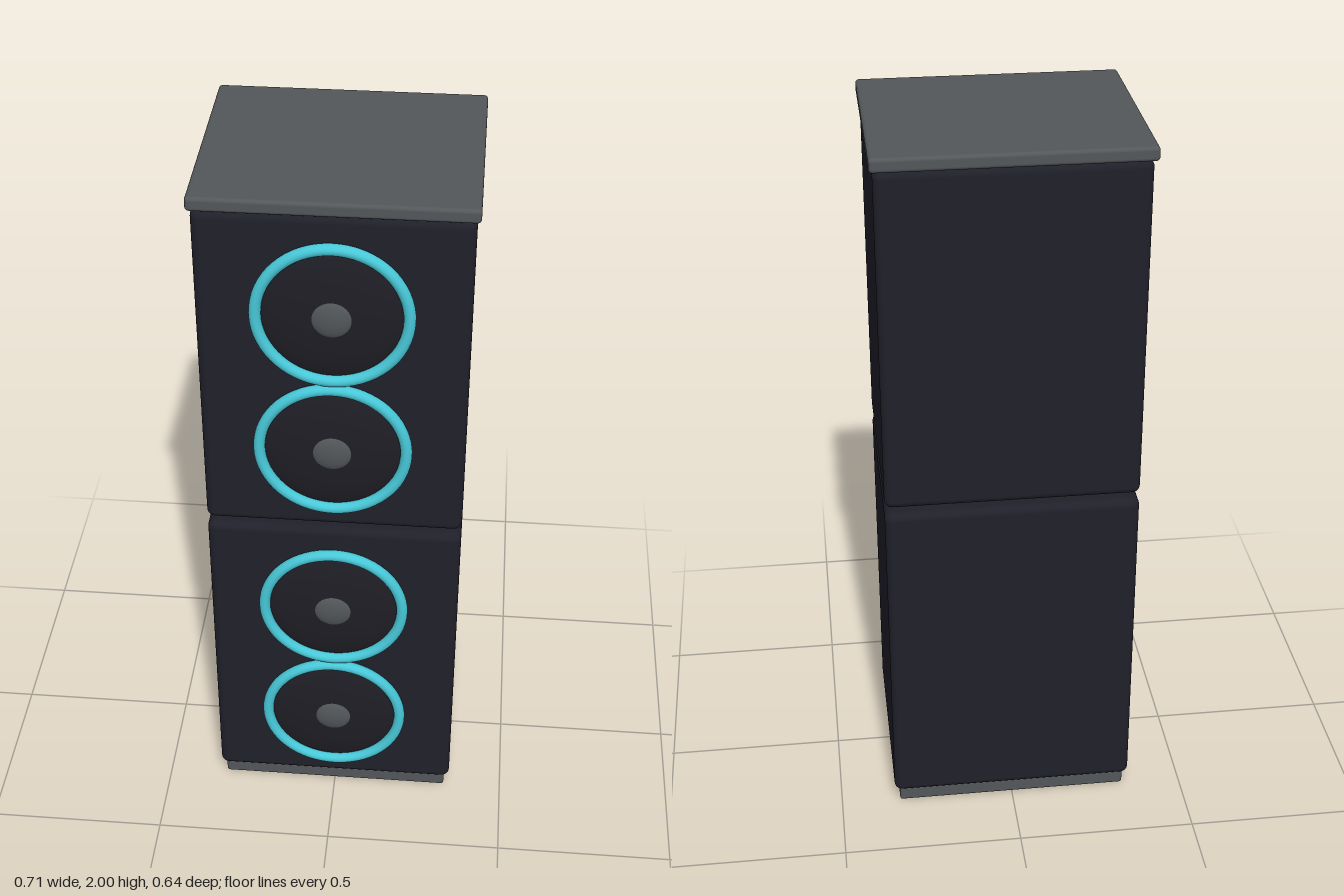
import * as THREE from 'three';
import { RoundedBoxGeometry } from 'three/addons/geometries/RoundedBoxGeometry.js';

export function createModel() {
  const mat = (name, color) => {
    const m = new THREE.MeshStandardMaterial({ color });
    m.name = name;
    return m;
  };
  const cabinetMat = mat('cabinetBlack', 0x20202a);
  const plateMat = mat('plateGrey', 0x53575a);
  const coneMat = mat('coneBlack', 0x1e1e25);
  const ringMat = mat('ringTeal', 0x48c8d8);

  const model = new THREE.Group();
  model.name = 'speakerTower';

  const add = (parent, name, geometry, material, x, y, z) => {
    const mesh = new THREE.Mesh(geometry, material);
    mesh.name = name;
    mesh.position.set(x, y, z);
    parent.add(mesh);
    return mesh;
  };
  // Rounded slab between two heights
  const slab = (name, w, y0, y1, d, z, r, material) =>
    add(model, name, new RoundedBoxGeometry(w, y1 - y0, d, 4, r), material, 0, (y0 + y1) / 2, z);

  // Plinth, two stacked cabinets with a narrow gap, and top plate
  slab('basePlate', 0.66, 0, 0.046, 0.562, -0.014, 0.008, plateMat);
  slab('lowerCabinet', 0.69, 0.045, 0.995, 0.594, -0.015, 0.022, cabinetMat);
  slab('upperCabinet', 0.69, 1.013, 1.963, 0.594, -0.015, 0.022, cabinetMat);
  slab('topPlate', 0.708, 1.962, 2, 0.61, -0.018, 0.01, plateMat);

  // Shallow dome facing +z
  const dome = (radius, height) => {
    const g = new THREE.SphereGeometry(radius, 48, 16, 0, Math.PI * 2, 0, Math.PI / 2);
    g.rotateX(Math.PI / 2);
    g.scale(1, 1, height / radius);
    return g;
  };
  const ringGeo = new THREE.TorusGeometry(0.192, 0.0155, 16, 64);
  const coneGeo = dome(0.19, 0.032);
  const capGeo = dome(0.056, 0.018);

  // Four drivers: ring, cone and dust cap
  [0.312, 0.725, 1.278, 1.69].forEach((y, i) => {
    const driver = new THREE.Group();
    driver.name = `driver${i + 1}`;
    driver.position.set(0, y, 0.28);
    add(driver, 'ring', ringGeo, ringMat, 0, 0, 0.0155);
    add(driver, 'cone', coneGeo, coneMat, 0, 0, 0);
    add(driver, 'dustCap', capGeo, plateMat, 0, 0, 0.0225);
    model.add(driver);
  });

  return model;
}
